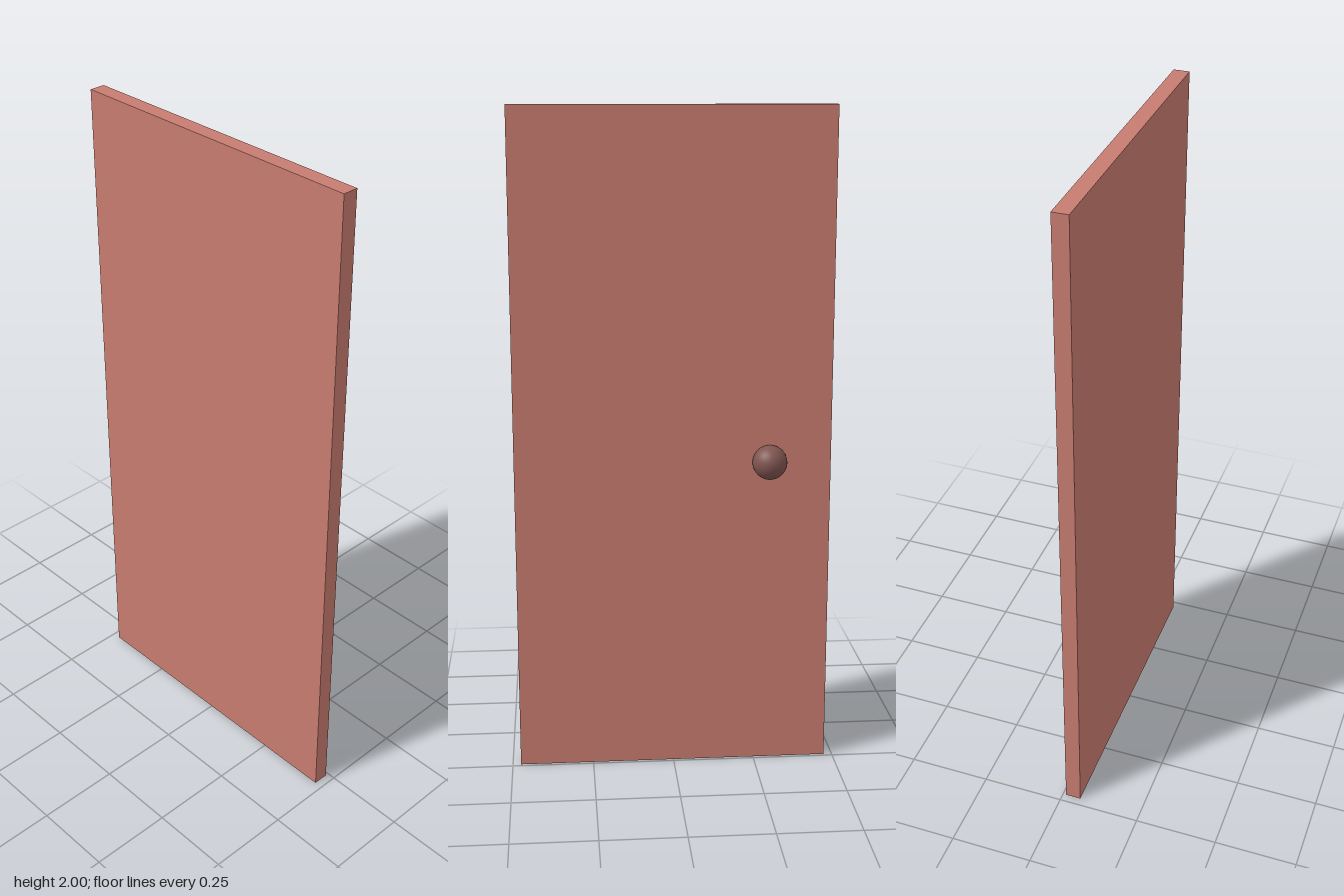
import * as THREE from 'three';

export function createModel() {
  const group = new THREE.Group();
  const add = (name, geometry, color, x, y, z) => {
    const mesh = new THREE.Mesh(geometry, new THREE.MeshStandardMaterial({ color }));
    mesh.name = name;
    mesh.position.set(x, y, z);
    group.add(mesh);
  };

  // Flat door slab
  add('doorPanel', new THREE.BoxGeometry(0.95, 2, 0.047), 0xc87c70, 0, 1, 0.0335);

  // Round knob, partly sunk into the back face
  add('doorKnob', new THREE.SphereGeometry(0.052, 32, 24), 0x805550, -0.288, 0.955, -0.006);

  return group;
}
